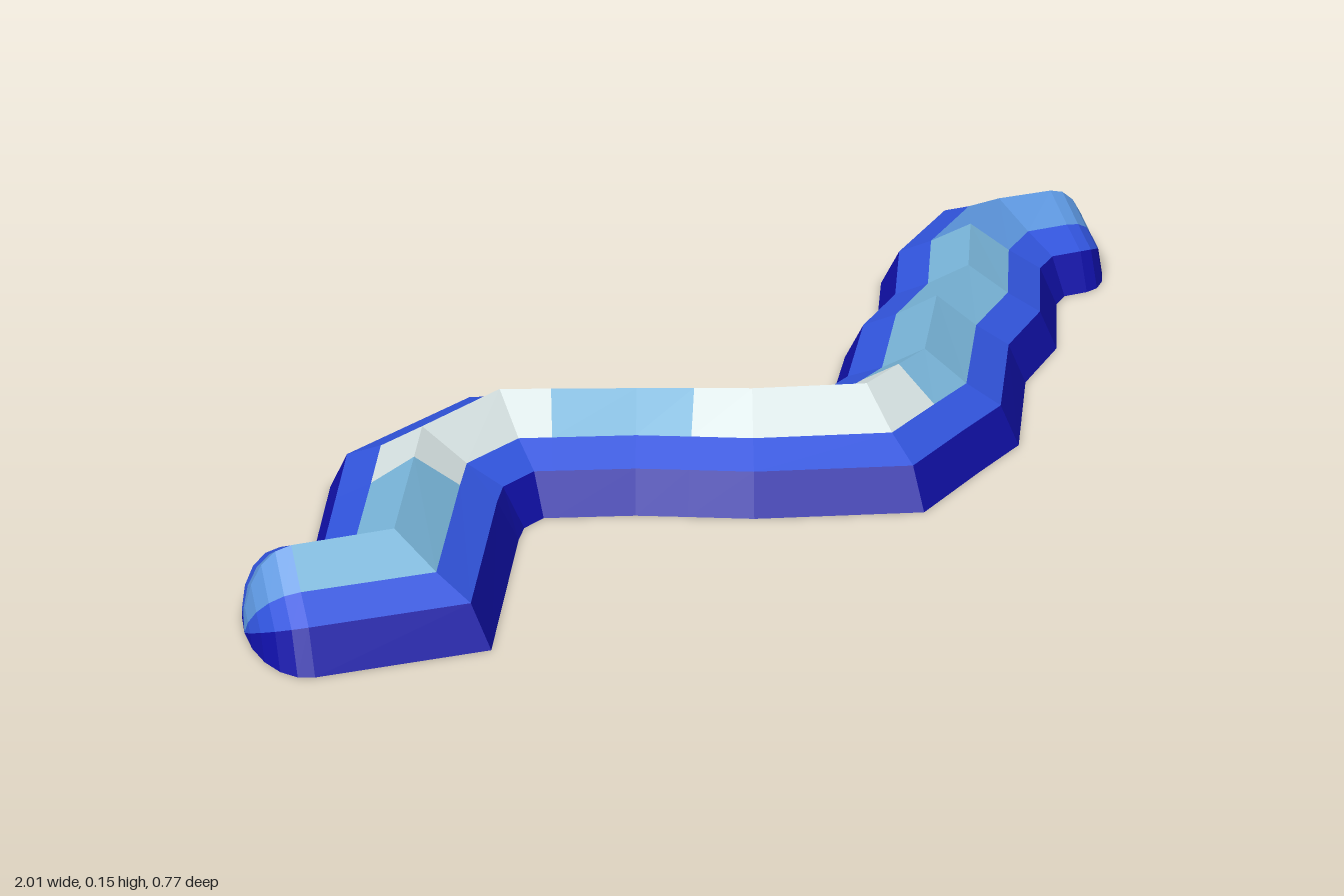
import * as THREE from 'three';

const material = (name, color) => new THREE.MeshStandardMaterial({ name, color, side: THREE.FrontSide, flatShading: true });

export function createModel() {
  const mats = {
    navy: material('navy base', 0x1010a8),
    blue: material('royal blue slope', 0x3154dc),
    light: material('light blue crest', 0x78b4d8),
    mid: material('mid blue crest', 0x5c96de),
    white: material('pale peak', 0xd6e2e2),
  };

  // Ridge line: x, z, crest height, half width, crest colour of the stretch that follows
  const ridge = [
    [-0.9, -0.095, 0.14, 0.155, 'light'],
    [-0.765, -0.015, 0.143, 0.155, 'light'],
    [-0.595, -0.157, 0.146, 0.16, 'white'],
    [-0.52, -0.22, 0.148, 0.165, 'white'],
    [-0.35, -0.22, 0.15, 0.165, 'white'],
    [-0.29, -0.162, 0.148, 0.165, 'light'],
    [-0.19, -0.065, 0.145, 0.165, 'light'],
    [-0.13, 0.007, 0.148, 0.165, 'white'],
    [-0.07, 0.08, 0.15, 0.165, 'white'],
    [0.07, 0.205, 0.15, 0.17, 'white'],
    [0.16, 0.197, 0.149, 0.165, 'light'],
    [0.235, 0.19, 0.147, 0.165, 'light'],
    [0.41, 0.07, 0.144, 0.16, 'light'],
    [0.545, 0.03, 0.142, 0.16, 'light'],
    [0.685, -0.08, 0.14, 0.16, 'mid'],
    [0.81, -0.115, 0.138, 0.16, 'mid'],
    [0.905, -0.07, 0.136, 0.16, 'mid'],
  ];

  // Cross-section from front foot over the crest to the back foot
  const section = (x, z, h, w, n, s) =>
    [[-1, 0], [-0.8, 0.068], [-0.44, 0.097], [0, h], [0.44, 0.097], [0.8, 0.068], [1, 0]]
      .map(([o, y]) => new THREE.Vector3(x + n.x * o * w * s, y * s, z + n.y * o * w * s));

  const at = (i) => new THREE.Vector2(ridge[i][0], ridge[i][1]);
  const direction = (i) => at(i + 1).sub(at(i)).normalize();
  const side = (d) => new THREE.Vector2(d.y, -d.x);
  const last = ridge.length - 1;

  const rows = [];
  const crestColours = [];

  // Rounded end: sections shrink towards a point on the ground
  const steps = 5, reach = 0.08;
  const cap = (i, dir, sign) => {
    const [x, z, h, w] = ridge[i];
    const out = [];
    for (let k = 1; k <= steps; k++) {
      const a = (k / steps) * Math.PI / 2;
      const r = sign * reach * Math.sin(a);
      out.push(section(x + dir.x * r, z + dir.y * r, h, w, side(dir), k === steps ? 0 : Math.cos(a)));
    }
    return out;
  };

  for (const row of cap(0, direction(0), -1).reverse()) {
    rows.push(row);
    crestColours.push('mid');
  }
  // Body with mitred bends
  ridge.forEach(([x, z, h, w, colour], i) => {
    const a = direction(Math.max(i - 1, 0));
    const b = direction(Math.min(i, last - 1));
    const n = side(a.clone().add(b).normalize());
    n.divideScalar(n.dot(side(a)));
    rows.push(section(x, z, h, w, n, 1));
    crestColours.push(colour);
  });
  for (const row of cap(last, direction(last - 1), 1)) {
    rows.push(row);
    crestColours.push('mid');
  }

  // Collect faces by colour band; the seventh strip closes the underside
  const bands = ['navy', 'blue', 'crest', 'crest', 'blue', 'navy', 'navy'];
  const faces = { navy: [], blue: [], light: [], mid: [], white: [] };
  for (let i = 0; i < rows.length - 1; i++) {
    bands.forEach((band, j) => {
      const k = (j + 1) % 7;
      const [a, b, c, d] = [rows[i][j], rows[i][k], rows[i + 1][k], rows[i + 1][j]];
      const list = faces[band === 'crest' ? crestColours[i] : band];
      for (const tri of [[a, d, c], [a, c, b]]) {
        const t = new THREE.Triangle(...tri);
        if (t.getArea() > 1e-9) list.push(...tri);
      }
    });
  }

  const names = { navy: 'foot', blue: 'slope', light: 'lowCrest', mid: 'endCrest', white: 'peaks' };
  const group = new THREE.Group();
  group.name = 'windingRidge';
  for (const key of Object.keys(faces)) {
    const geometry = new THREE.BufferGeometry().setFromPoints(faces[key]);
    geometry.computeVertexNormals();
    const mesh = new THREE.Mesh(geometry, mats[key]);
    mesh.name = names[key];
    group.add(mesh);
  }
  return group;
}
